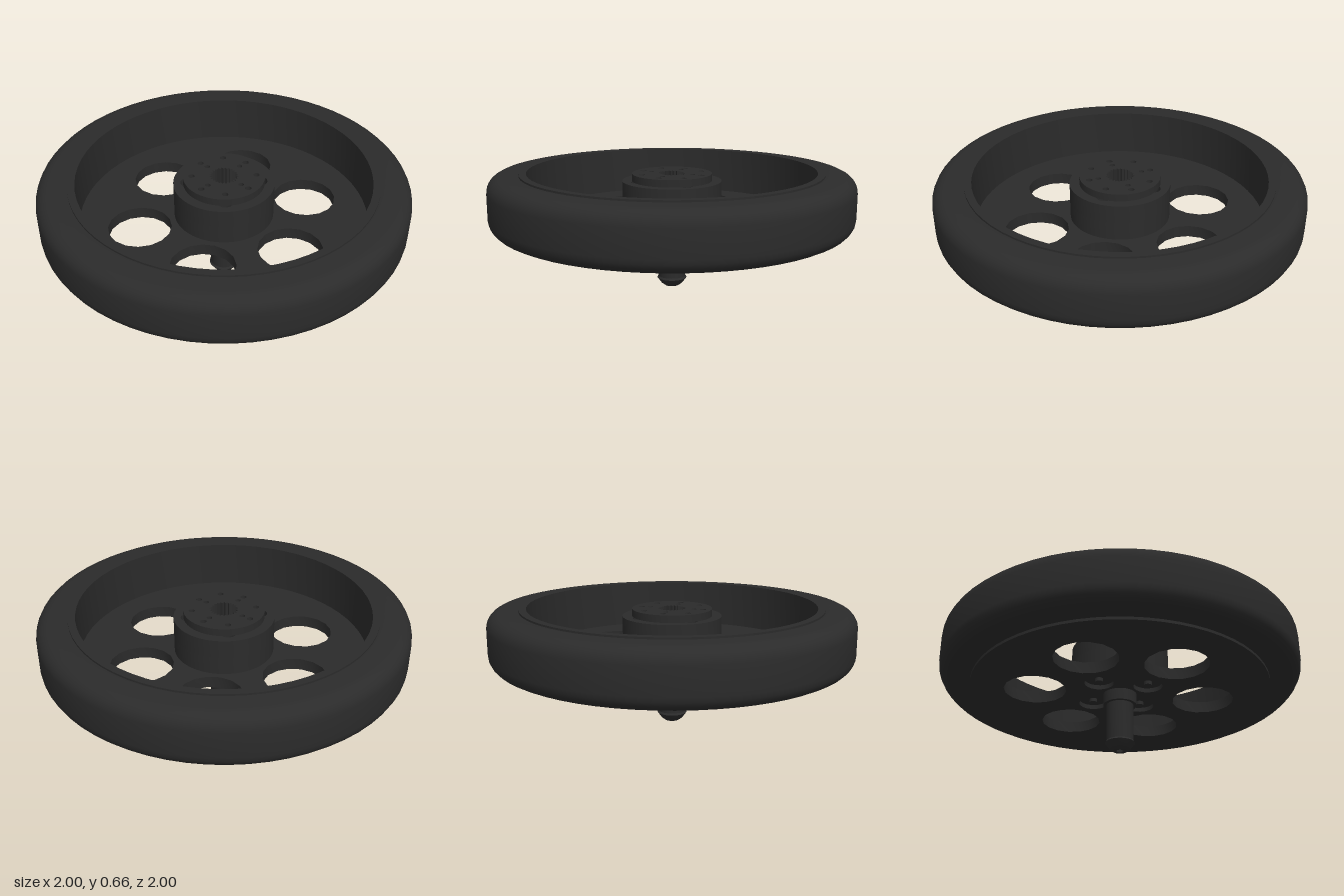
import * as THREE from 'three';
import { toCreasedNormals } from 'three/addons/utils/BufferGeometryUtils.js';

const DEG = Math.PI / 180;

export function createModel() {
  const model = new THREE.Group();
  const rubber = new THREE.MeshStandardMaterial({ color: 0x2b2b2b });

  const add = (name, geometry) => {
    const mesh = new THREE.Mesh(toCreasedNormals(geometry, 0.6), rubber);
    mesh.name = name;
    model.add(mesh);
    return mesh;
  };

  // Turned part from a counter-clockwise (radius, height) profile
  const turned = (name, profile, segments = 64) =>
    add(name, new THREE.LatheGeometry(profile.map(([r, y]) => new THREE.Vector2(r, y)), segments));

  // Flat part cut from a shape, lying between two heights
  const plate = (name, shape, bottom, top) => {
    const geometry = new THREE.ExtrudeGeometry(shape, {
      depth: top - bottom, bevelEnabled: false, curveSegments: 64,
    });
    geometry.rotateX(-Math.PI / 2).translate(0, bottom, 0);
    return add(name, geometry);
  };

  // Regular outlines; shape y is -z once the plate lies flat
  const circle = (radius, sides, cx = 0, cz = 0) => Array.from({ length: sides }, (_, i) => {
    const a = i / sides * 2 * Math.PI;
    return new THREE.Vector2(cx + radius * Math.cos(a), -cz + radius * Math.sin(a));
  });
  const ringOfPoints = (count, radius, startDegrees) => Array.from({ length: count }, (_, i) => {
    const a = startDegrees * DEG + i / count * 2 * Math.PI;
    return [radius * Math.cos(a), radius * Math.sin(a)];
  });
  const disc = (radius) => new THREE.Shape(circle(radius, 64));
  const cutHoles = (shape, centres, radius, sides = 16) => {
    for (const [x, z] of centres) shape.holes.push(new THREE.Path(circle(radius, sides, x, z)));
  };
  const splineHole = () => new THREE.Path(Array.from({ length: 48 }, (_, i) => {
    const a = i / 48 * 2 * Math.PI, r = i % 2 ? 0.066 : 0.078;
    return new THREE.Vector2(r * Math.cos(a), r * Math.sin(a));
  }));

  // Tyre with rounded shoulders
  const tyre = [[0.82, 0.35]];
  for (const [y, start] of [[0.43, -90], [0.57, 0]]) {
    for (let i = 0; i <= 5; i++) {
      const a = (start + i * 18) * DEG;
      tyre.push([0.92 + 0.08 * Math.cos(a), y + 0.08 * Math.sin(a)]);
    }
  }
  tyre.push([0.82, 0.65]);
  turned('tyre', tyre);

  // Rim band standing slightly proud of the tyre
  turned('rim', [[0.785, 0.335], [0.83, 0.335], [0.83, 0.66], [0.79, 0.66], [0.79, 0.39]]);

  // Wheel web with lightening holes and screw recesses
  const screwCentres = ringOfPoints(4, 0.19, -22.5);
  const web = disc(0.792);
  cutHoles(web, ringOfPoints(6, 0.474, 22.5), 0.172);
  cutHoles(web, screwCentres, 0.08, 20);
  plate('web', web, 0.335, 0.4);

  // Central boss: solid base, bored upper part
  turned('bossBase', [[0, 0.36], [0.273, 0.36], [0.273, 0.5], [0, 0.5]]);
  const boss = disc(0.273);
  cutHoles(boss, screwCentres, 0.045);
  boss.holes.push(splineHole());
  plate('boss', boss, 0.5, 0.6);

  // Screws seen in the recesses underneath
  for (const [x, z] of screwCentres) {
    add('screw', new THREE.CylinderGeometry(0.022, 0.022, 0.03, 16)).position.set(x, 0.355, z);
  }

  // Drive disc with small mounting holes and a splined centre
  const drive = disc(0.22);
  cutHoles(drive, ringOfPoints(8, 0.174, 22.5), 0.017, 12);
  cutHoles(drive, ringOfPoints(4, 0.124, 22.5), 0.015, 12);
  drive.holes.push(splineHole());
  plate('driveDisc', drive, 0.6, 0.64);

  // Centre pin inside the spline
  turned('centrePin', [[0.03, 0.5], [0.03, 0.54], [0.018, 0.54], [0.018, 0.5]], 24);

  // Collar and shaft below the wheel
  turned('collar', [[0, 0.27], [0.093, 0.27], [0.093, 0.37]], 32);
  turned('shaft', [
    [0, 0.05], [0.02, 0.05], [0.02, 0], [0.04, 0], [0.06, 0.015],
    [0.082, 0.045], [0.075, 0.055], [0.075, 0.29],
  ], 32);

  return model;
}
